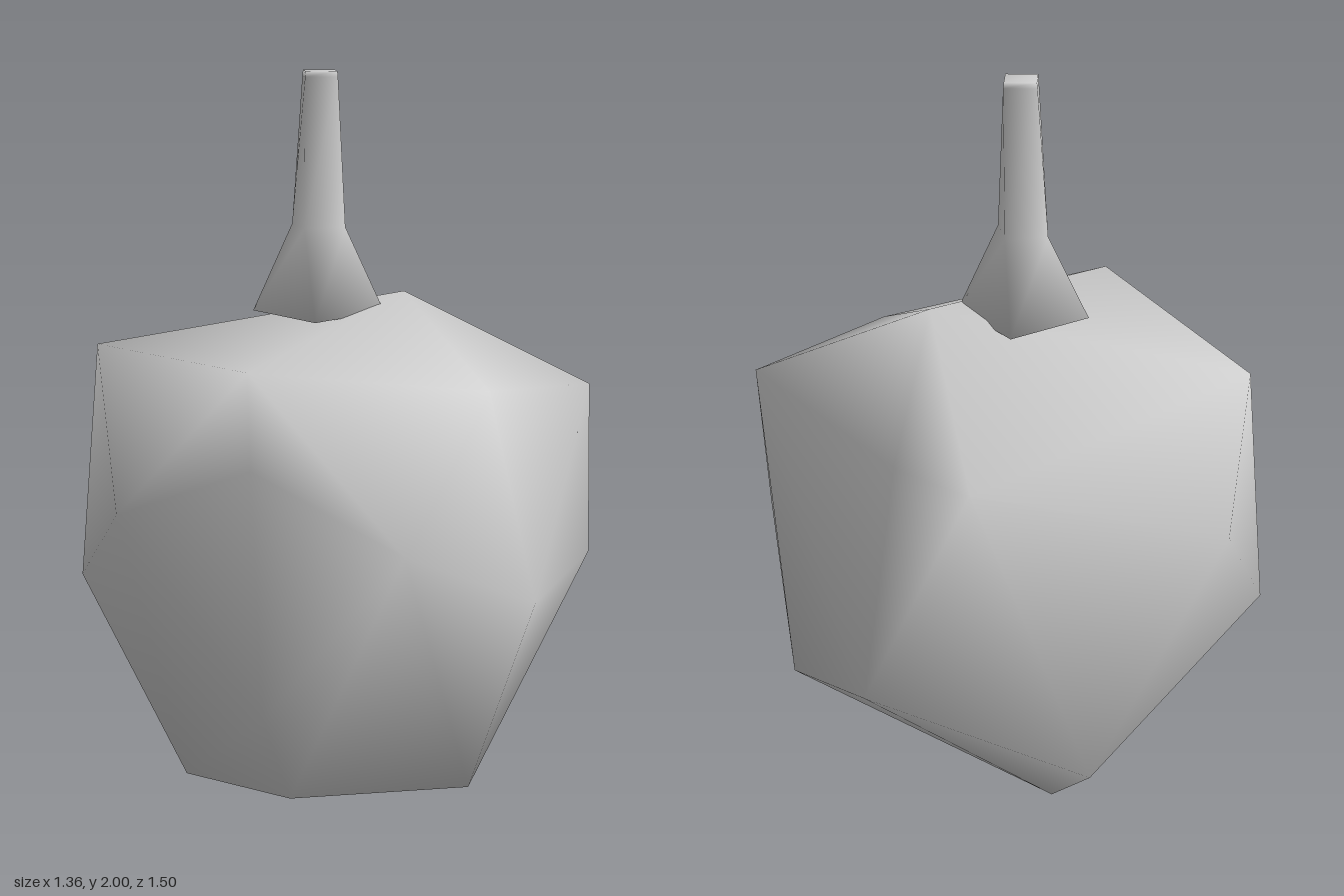
import * as THREE from 'three';
import { ConvexGeometry } from 'three/addons/geometries/ConvexGeometry.js';
import { mergeVertices } from 'three/addons/utils/BufferGeometryUtils.js';

// Smooth-shaded convex lump around a few corner points
function smoothHull(points) {
  const hull = new ConvexGeometry(points.map(p => new THREE.Vector3(...p)));
  hull.deleteAttribute('normal');
  const g = mergeVertices(hull, 1e-4);
  g.computeVertexNormals();
  return g;
}

// Four-sided twisted loft through rings of [y, centreX, radius, angle in degrees]
function twistedLoft(rings, sides = 4) {
  const pos = [], index = [];
  for (const [y, cx, r, deg] of rings) {
    for (let j = 0; j < sides; j++) {
      const t = THREE.MathUtils.degToRad(deg) + (j / sides) * Math.PI * 2;
      pos.push(cx + r * Math.cos(t), y, r * Math.sin(t));
    }
  }
  const last = (rings.length - 1) * sides;
  for (let i = 0; i < last; i += sides) {
    for (let j = 0; j < sides; j++) {
      const a = i + j, b = i + (j + 1) % sides;
      index.push(a, a + sides, b, b, a + sides, b + sides);
    }
  }
  // end caps
  for (let j = 1; j < sides - 1; j++) {
    index.push(0, j, j + 1, last, last + j + 1, last + j);
  }
  const g = new THREE.BufferGeometry();
  g.setAttribute('position', new THREE.Float32BufferAttribute(pos, 3));
  g.setIndex(index);
  g.computeVertexNormals();
  return g;
}

export function createModel() {
  const group = new THREE.Group();
  group.name = 'stemmedFruit';
  const grey = new THREE.MeshStandardMaterial({ color: 0xcccccc });
  grey.name = 'light grey';

  // Body: irregular faceted lump
  const body = new THREE.Mesh(smoothHull([
    // crown
    [0.26, 1.38, 0.09], [-0.48, 1.28, 0.28], [-0.40, 1.23, -0.48],
    [0.545, 1.17, -0.54], [0.61, 1.16, -0.29], [0.59, 1.13, 0.505], [0.15, 1.18, 0.53],
    // shoulders and waist
    [-0.565, 1.06, 0.39], [-0.68, 0.88, -0.02], [-0.11, 0.94, -0.755],
    [-0.31, 0.85, 0.68], [0.11, 0.65, 0.745], [0.54, 0.66, 0.565], [-0.445, 0.54, -0.525],
    // lower sides
    [0.675, 0.44, -0.2], [0.67, 0.3, 0.22], [0.27, 0.3, -0.68], [-0.53, 0.39, 0.39],
    // underside
    [-0.42, 0.13, 0.37], [0.055, 0.085, 0.57], [0.165, 0, -0.36], [-0.35, 0, -0.165],
  ]), grey);
  body.name = 'body';

  // Stem: flared square foot twisting into a slim tapered stalk
  const stem = new THREE.Mesh(twistedLoft([
    [1.34, 0.015, 0.183, -45],
    [1.58, 0.015, 0.083, -20],
    [1.985, 0.02, 0.063, -8],
    [2.0, 0.02, 0.061, -8],
  ]), grey);
  stem.name = 'stem';

  group.add(body, stem);
  return group;
}
